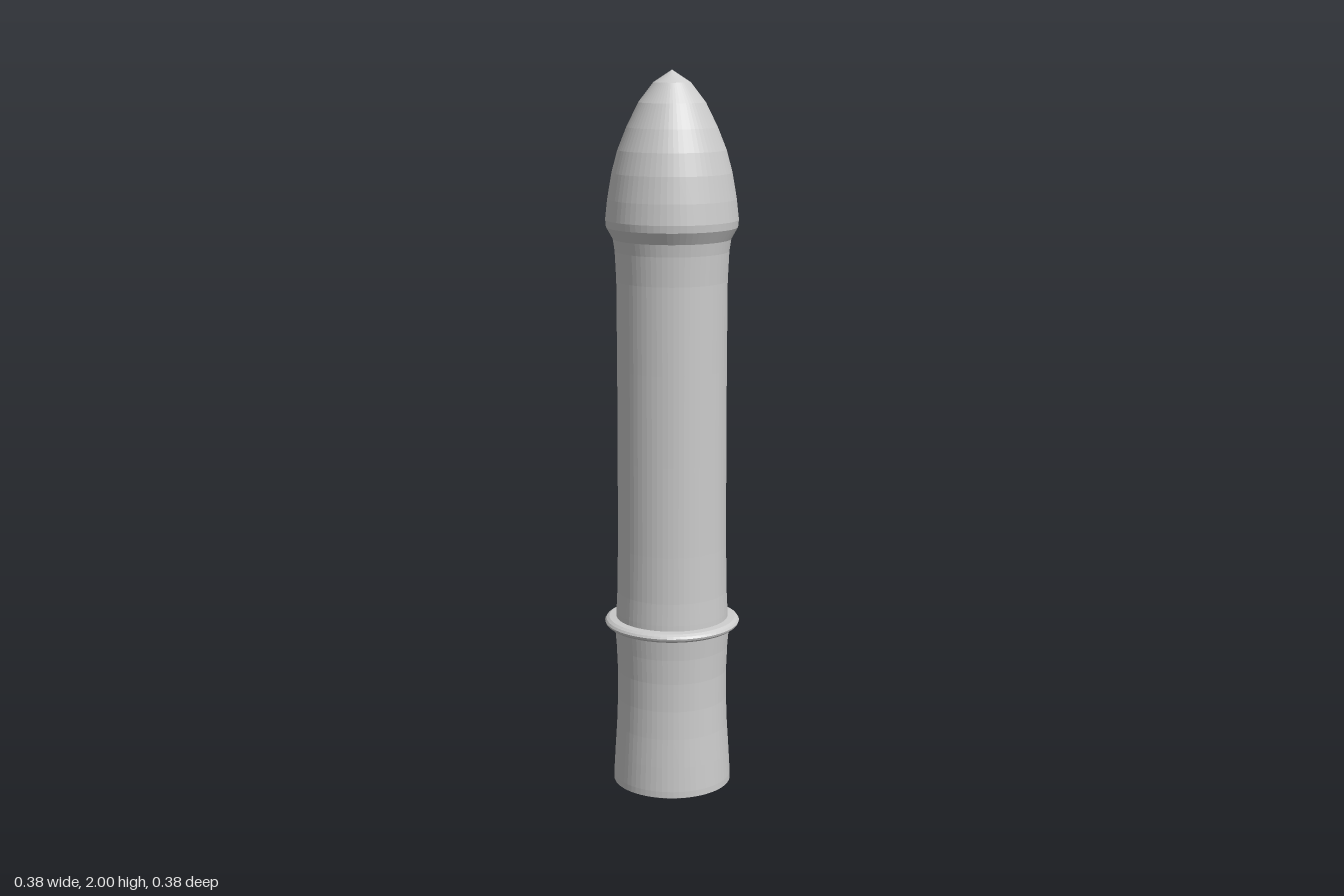
import * as THREE from 'three';

const SIDES = 64;

export function createModel() {
  const group = new THREE.Group();
  const material = new THREE.MeshStandardMaterial({ color: 0xcccccc, flatShading: true });

  // Turns a profile of [radius, height] pairs, listed from bottom to top.
  const turn = (name, profile) => {
    const points = profile.map(([r, y]) => new THREE.Vector2(r, y));
    const mesh = new THREE.Mesh(new THREE.LatheGeometry(points, SIDES), material);
    mesh.name = name;
    group.add(mesh);
  };

  // Waisted foot with a shallow convex underside
  turn('base', [
    [0, 0], [0.15, 0.005], [0.165, 0.012], [0.165, 0.03], [0.161, 0.1], [0.156, 0.18],
    [0.153, 0.26], [0.153, 0.34], [0.156, 0.41], [0.161, 0.47], [0.161, 0.48],
  ]);

  // Rounded ring above the foot
  turn('collar', [
    [0.155, 0.47], [0.178, 0.47], [0.186, 0.476], [0.188, 0.482], [0.184, 0.488],
    [0.176, 0.493], [0.155, 0.495],
  ]);

  // Long straight body, flaring slightly at both ends
  turn('shaft', [
    [0.157, 0.48], [0.156, 0.51], [0.153, 0.57], [0.151, 0.7], [0.15, 0.95],
    [0.15, 1.2], [0.151, 1.44], [0.155, 1.52],
  ]);

  // Pointed head with an undercut shoulder
  turn('head', [
    [0.155, 1.52], [0.16, 1.553], [0.178, 1.585], [0.18, 1.605], [0.174, 1.66],
    [0.162, 1.73], [0.146, 1.79], [0.122, 1.85], [0.09, 1.915], [0.05, 1.967], [0, 2],
  ]);

  return group;
}
